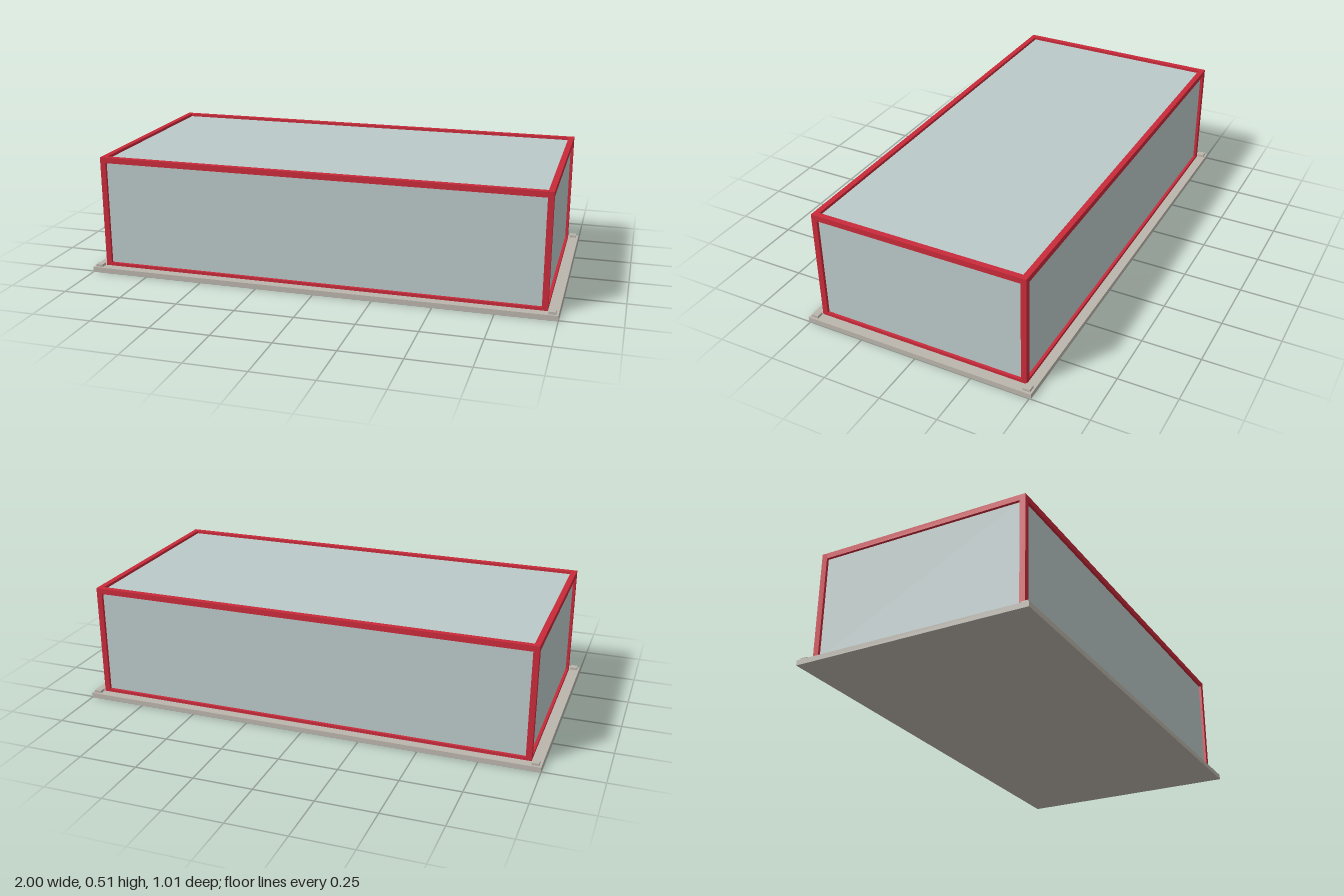
import * as THREE from 'three';

export function createModel() {
  const model = new THREE.Group();
  model.name = 'displayCase';

  const material = (name, color) => {
    const m = new THREE.MeshStandardMaterial({ color });
    m.name = name;
    return m;
  };
  const red = material('red frame', 0xc92a3a);
  const glass = material('pale glass', 0xbac9c8);
  const stone = material('warm grey base', 0xbab5ac);

  const box = (name, mat, w, h, d, x, y, z) => {
    const mesh = new THREE.Mesh(new THREE.BoxGeometry(w, h, d), mat);
    mesh.name = name;
    mesh.position.set(x, y, z);
    model.add(mesh);
  };

  const X = 0.955, Z = 0.467;         // outer half sizes of the frame
  const Y0 = 0.022, Y1 = 0.508;       // frame bottom and top
  const B = 0.024;                    // beam thickness
  const LOW = 0.013;                  // visible height of the bottom rails
  const R = 0.012, T = 0.004;         // glass recess and thickness
  const midY = (Y0 + Y1) / 2, H = Y1 - Y0;

  // Base slab
  box('base', stone, 2, Y0, 1.014, 0, Y0 / 2, 0);

  for (const sx of [-1, 1]) {
    for (const sz of [-1, 1]) {
      // Raised pads on the base corners, and upright posts
      box('cornerPad', stone, 0.03, 0.011, 0.03, sx * 0.975, Y0 + 0.0055, sz * 0.483);
      box('cornerPost', red, B, H, B, sx * (X - B / 2), midY, sz * (Z - B / 2));
    }
  }

  // Top and bottom rails between the posts
  for (const [name, h, y] of [['topRail', B, Y1 - B / 2], ['bottomRail', LOW, Y0 + LOW / 2]]) {
    for (const s of [-1, 1]) {
      box(name, red, 2 * (X - B), h, B, 0, y, s * (Z - B / 2));
      box(name, red, B, h, 2 * (Z - B), s * (X - B / 2), y, 0);
    }
  }

  // Recessed glass panes, their edges held inside the beams
  for (const s of [-1, 1]) {
    box('longPane', glass, 2 * (X - R), H - 2 * R, T, 0, midY, s * (Z - R - T / 2));
    box('endPane', glass, T, H - 2 * R, 2 * (Z - R), s * (X - R - T / 2), midY, 0);
  }
  box('topPane', glass, 2 * (X - R), T, 2 * (Z - R), 0, Y1 - R - T / 2, 0);

  return model;
}
